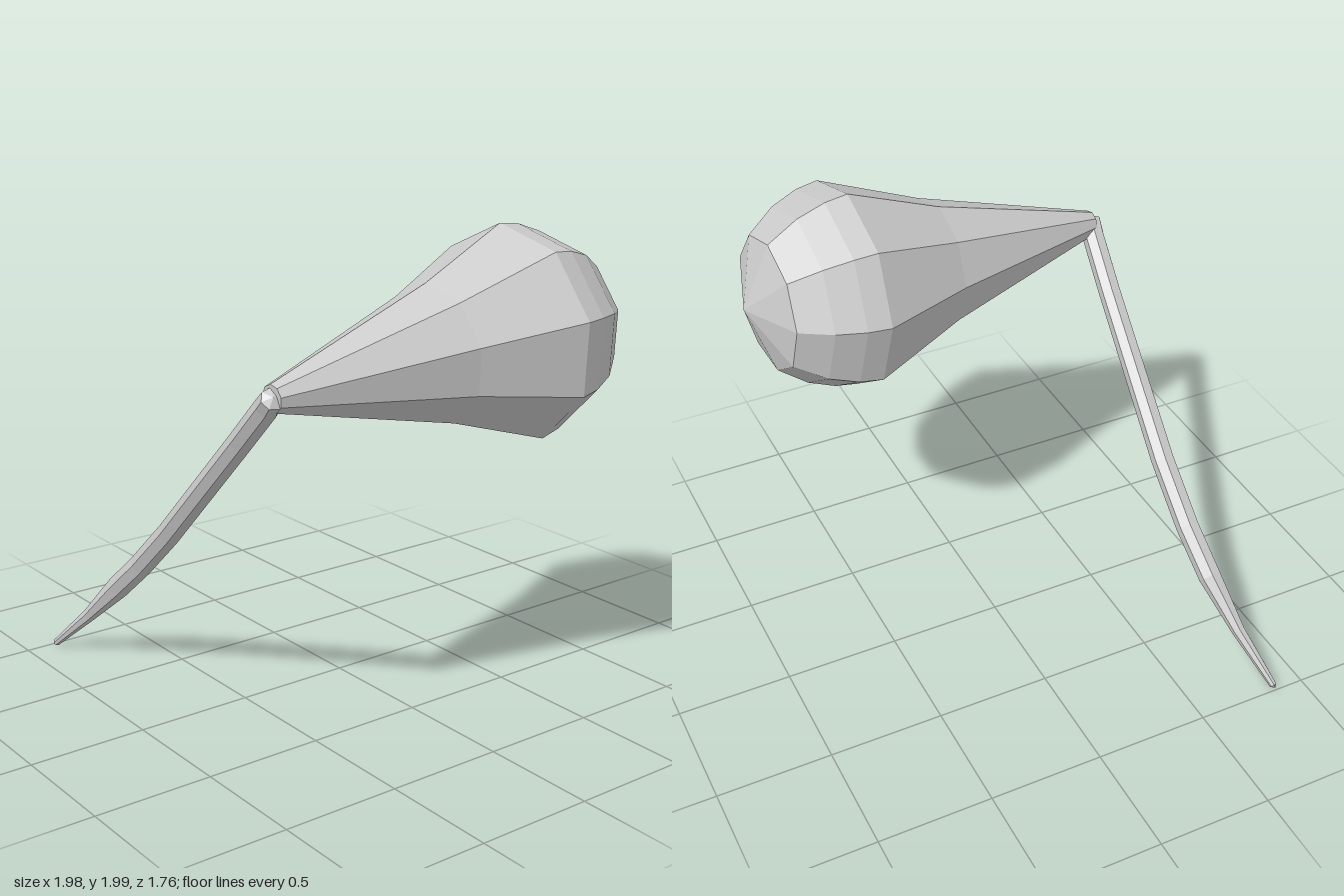
import * as THREE from 'three';

// Lofts regular rings along a path of [x, y, z, radius]; radius 0 closes the end to a point.
function loft(name, path, sides, reference, phase, material) {
  const centres = path.map(([x, y, z]) => new THREE.Vector3(x, y, z));
  const last = path.length - 1;
  const rings = centres.map((centre, i) => {
    const t = centres[Math.min(i + 1, last)].clone().sub(centres[Math.max(i - 1, 0)]).normalize();
    const u = reference.clone().addScaledVector(t, -reference.dot(t)).normalize();
    const v = t.clone().cross(u);
    return Array.from({ length: sides }, (_, j) => {
      const a = phase + (j / sides) * Math.PI * 2;
      return centre.clone()
        .addScaledVector(u, Math.cos(a) * path[i][3])
        .addScaledVector(v, Math.sin(a) * path[i][3]);
    });
  });

  const points = [];
  for (let i = 0; i < last; i++) {
    for (let j = 0; j < sides; j++) {
      const k = (j + 1) % sides;
      const [a, b, c, d] = [rings[i][j], rings[i][k], rings[i + 1][j], rings[i + 1][k]];
      if (path[i][3] > 0) points.push(a, b, c);
      if (path[i + 1][3] > 0) points.push(b, d, c);
    }
  }
  const geometry = new THREE.BufferGeometry().setFromPoints(points);
  geometry.computeVertexNormals();
  const mesh = new THREE.Mesh(geometry, material);
  mesh.name = name;
  return mesh;
}

export function createModel() {
  const group = new THREE.Group();
  group.name = 'bulbOnStem';
  const material = new THREE.MeshStandardMaterial({ color: 0xcccccc, flatShading: true });

  // Bulb: nine-sided teardrop on a slightly tilted straight axis, given as [z, radius]
  const bulbProfile = [
    [0.79, 0], [0.79, 0.055], [0.0, 0.28], [-0.425, 0.445],
    [-0.525, 0.428], [-0.645, 0.38], [-0.77, 0.29], [-0.875, 0],
  ];
  const bulbPath = bulbProfile.map(([z, r]) => {
    const d = 0.79 - z;
    return [0.64 - 0.068 * d, 1.495 + 0.049 * d, z, r];
  });
  group.add(loft('bulb', bulbPath, 9, new THREE.Vector3(0, 1, 0), THREE.MathUtils.degToRad(-5), material));

  // Stem: thin curved stalk tapering to its foot
  const stemPath = [
    [-0.99, 0.01, 0.873, 0], [-0.98, 0.02, 0.868, 0.016], [-0.78, 0.205, 0.798, 0.03],
    [-0.59, 0.385, 0.755, 0.051], [-0.41, 0.54, 0.738, 0.052], [-0.18, 0.745, 0.735, 0.052],
    [0.4, 1.275, 0.766, 0.05], [0.6, 1.455, 0.783, 0.05],
    [0.655, 1.5, 0.798, 0.045], [0.67, 1.51, 0.805, 0],
  ];
  group.add(loft('stem', stemPath, 7, new THREE.Vector3(0, 0, 1), 0, material));

  return group;
}
